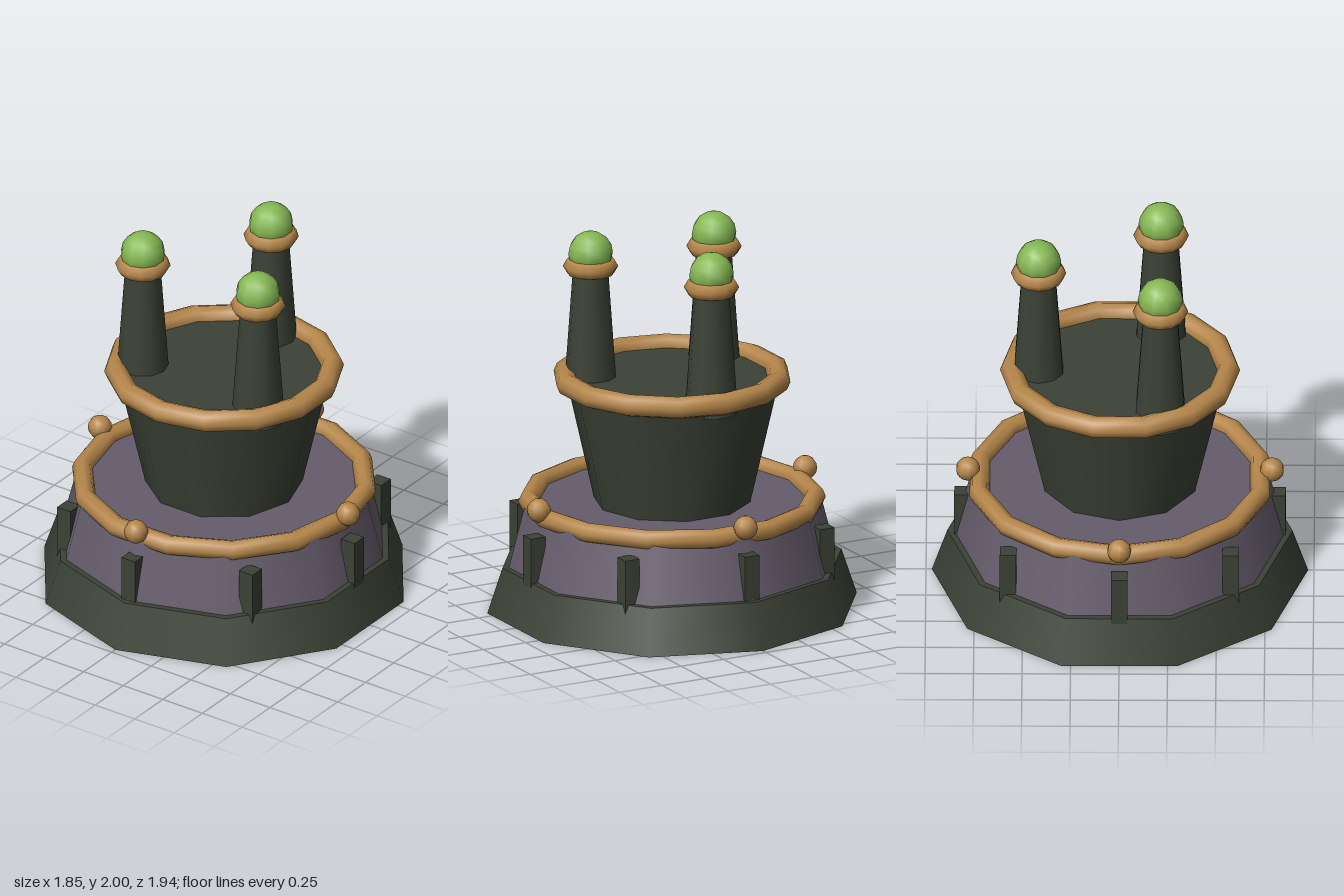
import * as THREE from 'three';

const material = (name, color) => {
  const m = new THREE.MeshStandardMaterial({ color });
  m.name = name;
  return m;
};

export function createModel() {
  const model = new THREE.Group();
  model.name = 'potTower';
  const darkGreen = material('dark green', 0x3c4236);
  const purple = material('dusty purple', 0x665c6c);
  const brass = material('brass', 0xb5864a);
  const lime = material('lime green', 0x86b854);

  const add = (parent, name, geometry, mat, x = 0, y = 0, z = 0) => {
    const mesh = new THREE.Mesh(geometry, mat);
    mesh.name = name;
    mesh.position.set(x, y, z);
    parent.add(mesh);
    return mesh;
  };
  // Tapered ten-sided drum between two heights
  const drum = (parent, name, rTop, rBottom, y0, y1, mat, x = 0, z = 0) =>
    add(parent, name, new THREE.CylinderGeometry(rTop, rBottom, y1 - y0, 10), mat, x, (y0 + y1) / 2, z);
  // Horizontal ring
  const ring = (parent, name, r, tube, sides, segments, y, x = 0, z = 0) =>
    add(parent, name, new THREE.TorusGeometry(r, tube, sides, segments).rotateX(Math.PI / 2), brass, x, y, z);

  // Stepped base
  drum(model, 'foot', 0.89, 0.97, 0, 0.24, darkGreen);
  drum(model, 'body', 0.775, 0.862, 0.22, 0.56, purple);
  ring(model, 'bodyRing', 0.741, 0.053, 8, 14, 0.562);

  // Square ribs around the body, all aligned with the axes
  for (let i = 0; i < 8; i++) {
    const a = (i * Math.PI) / 4;
    add(model, 'rib', new THREE.BoxGeometry(0.085, 0.34, 0.085), darkGreen,
      Math.sin(a) * 0.812, 0.31, Math.cos(a) * 0.812);
  }

  // Round studs on the body ring
  for (let i = 0; i < 4; i++) {
    const a = (i * Math.PI) / 2;
    add(model, 'stud', new THREE.SphereGeometry(0.063, 10, 8), brass,
      Math.sin(a) * 0.784, 0.615, Math.cos(a) * 0.784);
  }

  // Flared turret, turned a quarter against the base
  const turret = new THREE.Group();
  turret.name = 'turret';
  turret.rotation.y = Math.PI / 2;
  model.add(turret);
  drum(turret, 'turretBody', 0.557, 0.405, 0.55, 1.222, darkGreen);
  ring(turret, 'turretRing', 0.56, 0.059, 8, 14, 1.222);

  // Three chimneys with collars and domes
  for (let i = 0; i < 3; i++) {
    const a = Math.PI / 2 + (i * Math.PI * 2) / 3;
    const x = Math.cos(a + Math.PI / 2) * -0.42;
    const z = Math.sin(a + Math.PI / 2) * 0.42;
    drum(turret, 'chimney', 0.09, 0.138, 1.14, 1.82, darkGreen, x, z);
    ring(turret, 'collar', 0.098, 0.045, 6, 12, 1.815, x, z);
    add(turret, 'dome', new THREE.SphereGeometry(0.117, 10, 8), lime, x, 1.883, z);
  }
  return model;
}
